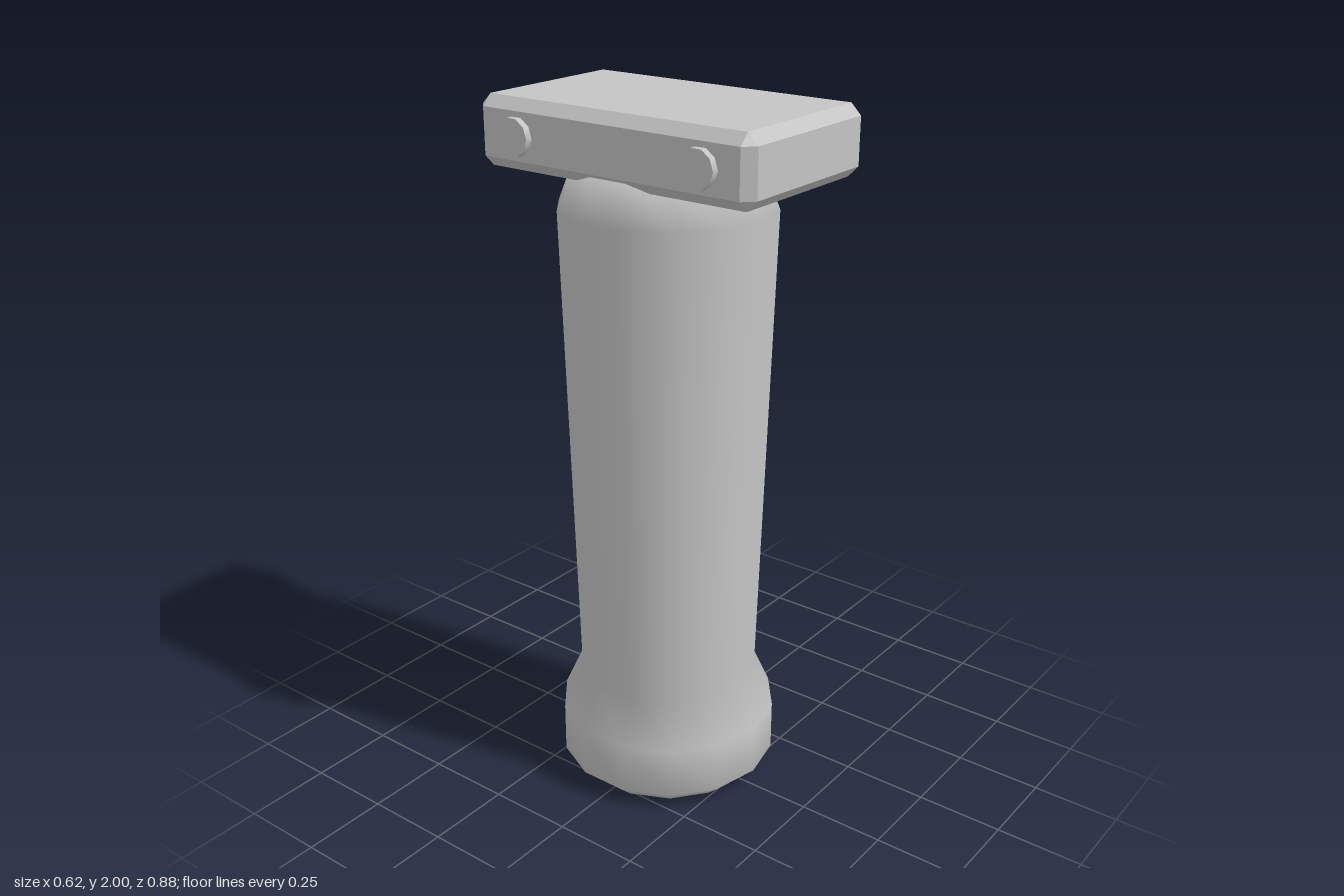
import * as THREE from 'three';
import { ConvexGeometry } from 'three/addons/geometries/ConvexGeometry.js';

// Box centred on the origin with every edge chamfered by c
function chamferedBox(hx, hy, hz, c) {
  const points = [];
  for (const sx of [-1, 1]) for (const sy of [-1, 1]) for (const sz of [-1, 1]) {
    points.push(
      new THREE.Vector3(sx * hx, sy * (hy - c), sz * (hz - c)),
      new THREE.Vector3(sx * (hx - c), sy * hy, sz * (hz - c)),
      new THREE.Vector3(sx * (hx - c), sy * (hy - c), sz * hz)
    );
  }
  return new ConvexGeometry(points);
}

export function createModel() {
  const model = new THREE.Group();
  model.name = 'grip';
  const grey = new THREE.MeshStandardMaterial({ color: 0xc4c4c4 });
  grey.name = 'plain grey';

  const add = (name, geometry, x, y, z) => {
    const mesh = new THREE.Mesh(geometry, grey);
    mesh.name = name;
    mesh.position.set(x, y, z);
    model.add(mesh);
    return mesh;
  };

  // Tapered fourteen-sided handle with a flared pommel
  const profile = [
    [0, 0], [0.265, 0], [0.32, 0.05], [0.32, 0.2], [0.262, 0.33],
    [0.3, 1.72], [0.25, 1.85], [0, 1.85],
  ].map(([r, y]) => new THREE.Vector2(r, y));
  add('handle', new THREE.LatheGeometry(profile, 14), 0, 0, 0);

  // Chamfered mounting block on top
  const blockY = 1.905;
  add('topBlock', chamferedBox(0.26, 0.095, 0.44, 0.03), 0, blockY, 0);

  // Two pin heads on each side of the block
  for (const [side, label] of [[1, 'left'], [-1, 'right']]) {
    for (const [end, place] of [[1, 'Front'], [-1, 'Back']]) {
      const pin = add(label + place + 'Pin',
        new THREE.CylinderGeometry(0.052, 0.052, 0.04, 10), side * 0.26, blockY, end * 0.295);
      pin.rotation.z = -side * Math.PI / 2;
    }
  }
  return model;
}
